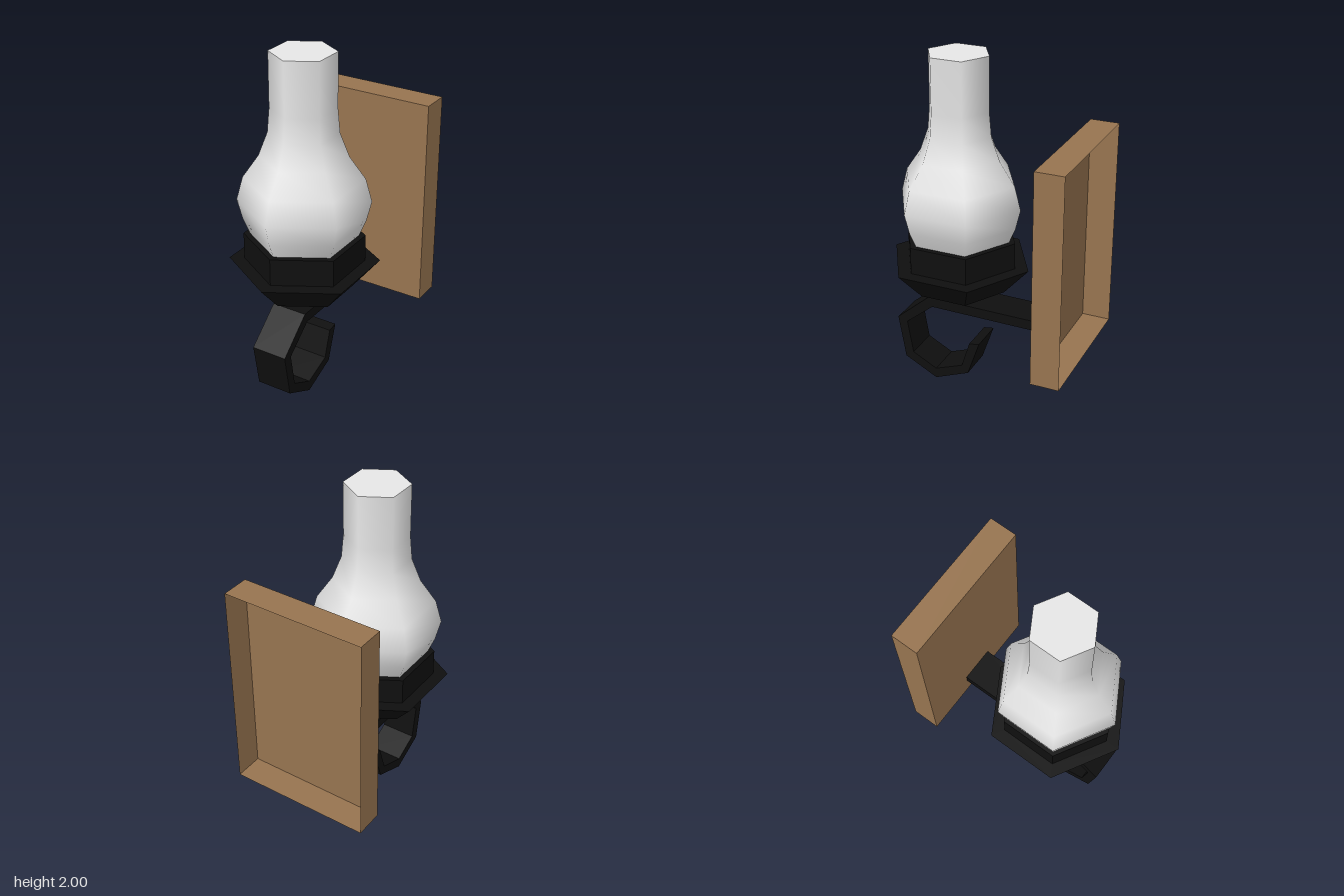
import * as THREE from 'three';
import { toCreasedNormals } from 'three/addons/utils/BufferGeometryUtils.js';

const LAMP_Z = 0.178; // axis of the lamp

const iron = new THREE.MeshStandardMaterial({ color: 0x0f0f0f });
iron.name = 'blackIron';
const glass = new THREE.MeshStandardMaterial({ color: 0xe7e7e7 });
glass.name = 'paleGlass';
const wood = new THREE.MeshStandardMaterial({ color: 0x977450, side: THREE.DoubleSide });
wood.name = 'brownWood';

const points = (list) => list.map(([a, b]) => new THREE.Vector2(a, b));

// six-sided turned form from a [radius, height] profile
const hexLathe = (profile) => new THREE.LatheGeometry(points(profile), 6);

function addPart(parent, name, geometry, material) {
  const mesh = new THREE.Mesh(geometry, material);
  mesh.name = name;
  parent.add(mesh);
  return mesh;
}

export function createModel() {
  const model = new THREE.Group();
  model.name = 'wallLamp';

  // wall plate: a box left open at the back
  const plate = new THREE.BoxGeometry(0.84, 1.24, 0.166);
  plate.setIndex(Array.from(plate.index.array).slice(0, 30));
  plate.translate(0, 0.96, -0.513);
  addPart(model, 'wallPlate', plate, wood);

  // flat iron strap with a curled end, as a [z, y] outline
  const outline = [
    [-0.429, 0.535], [0.34, 0.542], [0.545, 0.365], [0.5, 0.105], [0.3, 0.002],
    [0.09, 0.088], [0.018, 0.3], [0.08, 0.29], [0.13, 0.13], [0.3, 0.065],
    [0.45, 0.143], [0.485, 0.345], [0.317, 0.483], [-0.429, 0.475],
  ];
  const strap = new THREE.ExtrudeGeometry(
    new THREE.Shape(points(outline.map(([z, y]) => [-z, y]))),
    { depth: 0.21, bevelEnabled: false },
  );
  strap.rotateY(Math.PI / 2).translate(-0.105, 0, 0);
  addPart(model, 'bracket', strap, iron);

  const lamp = new THREE.Group();
  lamp.name = 'lamp';
  lamp.position.z = LAMP_Z;
  model.add(lamp);

  // stem, flared pan and cup
  const holder = hexLathe([
    [0.102, 0.5], [0.102, 0.62], [0.272, 0.62], [0.42, 0.785],
    [0.337, 0.785], [0.337, 0.942], [0, 0.942],
  ]);
  addPart(lamp, 'holder', toCreasedNormals(holder, 0.5), iron);

  // smooth glass chimney and its flat top
  const chimney = hexLathe([
    [0.3, 0.94], [0.338, 1.03], [0.368, 1.15], [0.332, 1.285],
    [0.243, 1.415], [0.192, 1.55], [0.18, 1.69], [0.18, 2],
  ]);
  addPart(lamp, 'chimney', chimney, glass);

  const cap = new THREE.CircleGeometry(0.18, 6, Math.PI / 2);
  cap.rotateX(-Math.PI / 2).translate(0, 2, 0);
  addPart(lamp, 'chimneyTop', cap, glass);

  return model;
}
